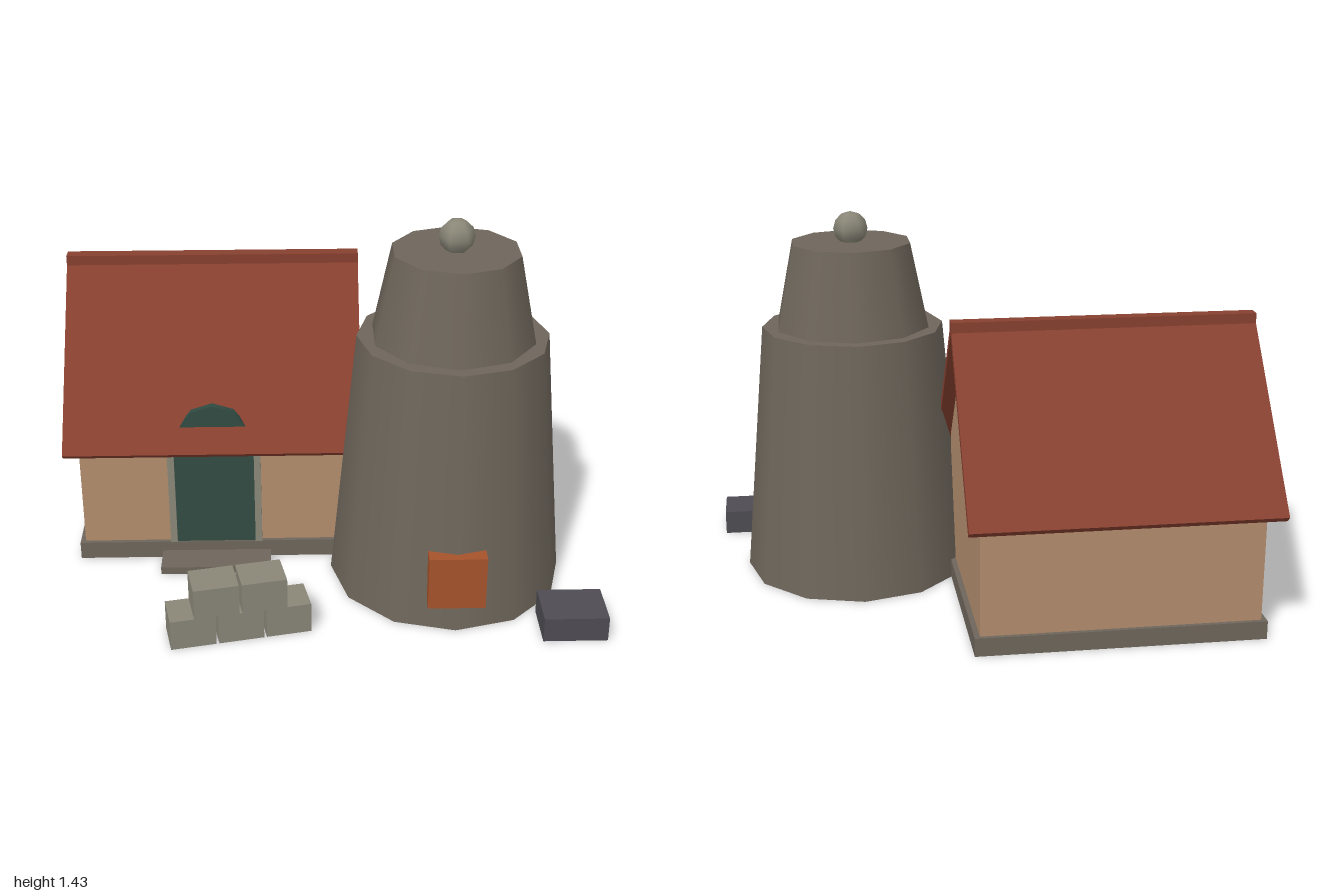
import * as THREE from 'three';

const mat = (name, color) => {
  const m = new THREE.MeshStandardMaterial({ color });
  m.name = name;
  return m;
};

export function createModel() {
  const root = new THREE.Group();
  root.name = 'farmstead';
  const rock = mat('dark stone', 0x6e665b);
  const stone = mat('pale stone', 0x8a8778);
  const plaster = mat('plaster', 0xb28d6d);
  const tile = mat('roof tile', 0x87402f);
  const green = mat('door green', 0x314b42);
  const rust = mat('rust orange', 0xa5532b);
  const slate = mat('slate', 0x4e4c53);

  const add = (parent, name, geometry, material, x = 0, y = 0, z = 0) => {
    const mesh = new THREE.Mesh(geometry, material);
    mesh.name = name;
    mesh.position.set(x, y, z);
    parent.add(mesh);
    return mesh;
  };
  // Box given by its minimum and maximum corners
  const box = (parent, name, material, [x0, y0, z0], [x1, y1, z1]) =>
    add(parent, name, new THREE.BoxGeometry(x1 - x0, y1 - y0, z1 - z0), material,
      (x0 + x1) / 2, (y0 + y1) / 2, (z0 + z1) / 2);
  // Gable profile (z, y) swept along x, centred on x = 0
  const sweep = (points, length) => {
    const shape = new THREE.Shape(points.map(([z, y]) => new THREE.Vector2(z, y)));
    return new THREE.ExtrudeGeometry(shape, { depth: length, bevelEnabled: false })
      .translate(0, 0, -length / 2).rotateY(-Math.PI / 2);
  };

  // House, centred on its own x = 0, z = 0
  const house = new THREE.Group();
  house.name = 'house';
  house.position.set(-0.435, 0, -0.272);
  root.add(house);
  box(house, 'foundation', rock, [-0.535, 0, -0.438], [0.535, 0.07, 0.438]);
  box(house, 'doorStep', rock, [-0.212, 0, 0.4], [0.212, 0.03, 0.562]);
  add(house, 'walls', sweep([[-0.422, 0.07], [0.422, 0.07], [0.422, 0.557], [0, 1.065], [-0.422, 0.557]], 1.03), plaster);
  add(house, 'roof', sweep([[0, 1.108], [-0.512, 0.499], [-0.49, 0.478], [0, 1.067], [0.49, 0.478], [0.512, 0.499]], 1.13), tile);
  box(house, 'ridge', tile, [-0.565, 1.06, -0.026], [0.565, 1.115, 0.026]);

  // Door with stone jambs and a round head that pokes through the roof
  box(house, 'door', green, [-0.155, 0.07, 0.4], [0.155, 0.53, 0.434]);
  for (const s of [-1, 1]) {
    add(house, 'doorJamb', new THREE.BoxGeometry(0.026, 0.46, 0.045), stone, s * 0.166, 0.3, 0.42);
  }
  const head = new THREE.CylinderGeometry(0.138, 0.138, 0.027, 10).rotateX(-Math.PI / 2);
  add(house, 'doorHead', head, green, 0, 0.53, 0.43);

  // Two-tier tower
  const tower = new THREE.Group();
  tower.name = 'tower';
  tower.position.set(0.455, 0, 0.244);
  root.add(tower);
  add(tower, 'lowerTier', new THREE.CylinderGeometry(0.352, 0.443, 0.988, 12), rock, 0, 0.494, 0);
  add(tower, 'upperTier', new THREE.CylinderGeometry(0.235, 0.304, 0.33, 10), rock, 0, 1.152, 0);
  add(tower, 'finial', new THREE.SphereGeometry(0.066, 6, 6), stone, 0, 1.367, 0);
  box(tower, 'hatch', rust, [-0.105, 0.1, 0.33], [0.105, 0.308, 0.447]);

  // Stacked blocks, three below and two above
  const pile = new THREE.Group();
  pile.name = 'blockPile';
  pile.position.set(-0.338, 0, 0.66);
  pile.rotation.y = 0.2;
  root.add(pile);
  [3, 2].forEach((count, row) => {
    for (let i = 0; i < count; i++) {
      add(pile, 'block', new THREE.BoxGeometry(0.165, 0.118, 0.136), stone,
        (i - (count - 1) / 2) * 0.175, 0.059 + row * 0.118, 0);
    }
  });

  box(root, 'slateBlock', slate, [0.765, 0, 0.575], [1, 0.095, 0.762]);
  return root;
}
